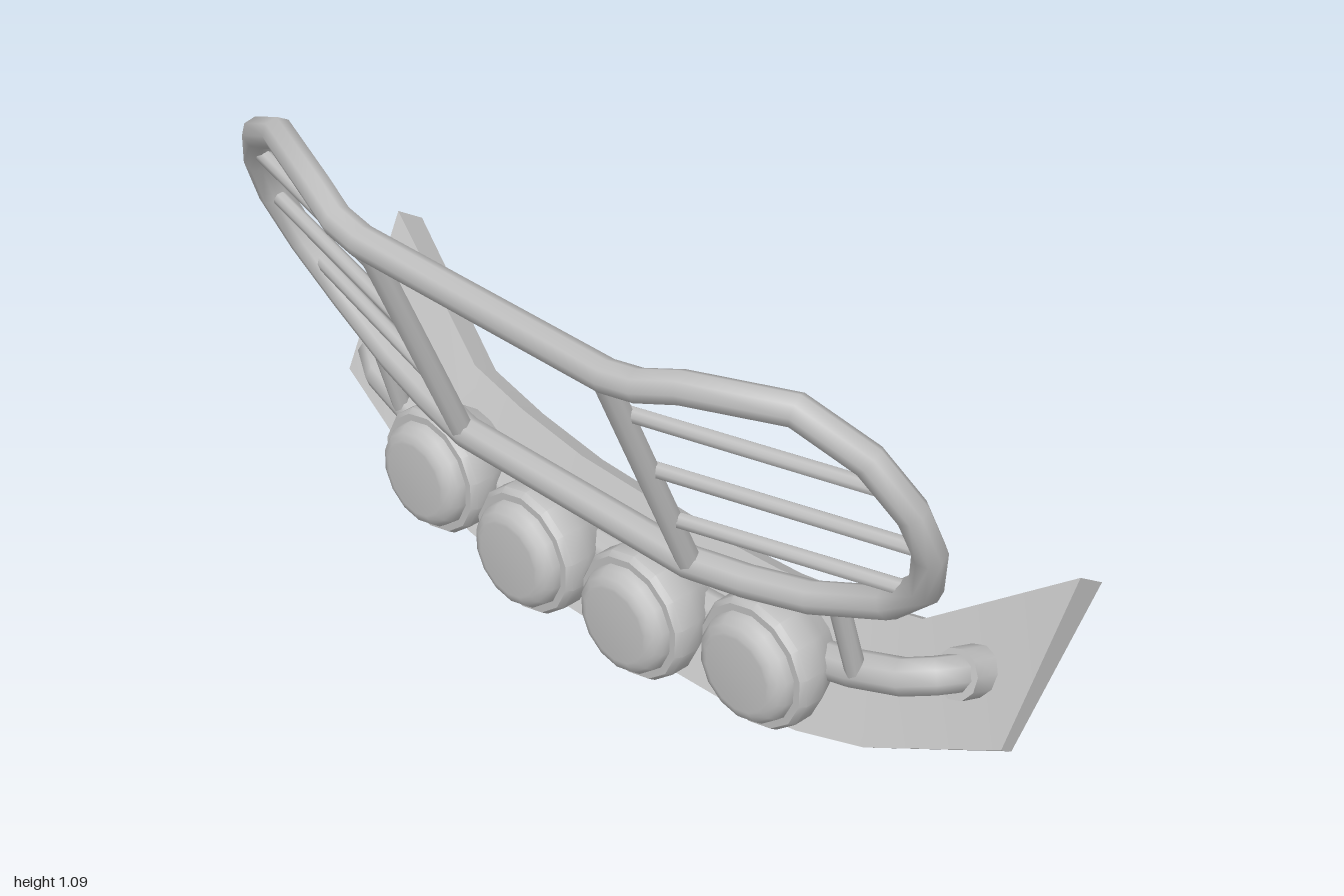
import * as THREE from 'three';
import { toCreasedNormals } from 'three/addons/utils/BufferGeometryUtils.js';

const metal = new THREE.MeshStandardMaterial({ color: 0xc0c0c0 });
metal.name = 'light grey metal';

const V = (p) => new THREE.Vector3(...p);
const flipX = (p) => [-p[0], p[1], p[2]];

function add(parent, name, geometry) {
  const mesh = new THREE.Mesh(geometry, metal);
  mesh.name = name;
  parent.add(mesh);
  return mesh;
}

// Bent pipe with one ring at each path point, so the bends stay faceted
function pipe(points, radius, closed) {
  const curve = new THREE.CatmullRomCurve3(points.map(V), closed);
  curve.getPointAt = curve.getPoint;
  curve.getTangentAt = curve.getTangent;
  return new THREE.TubeGeometry(curve, closed ? points.length : points.length - 1, radius, 8, closed);
}

// Straight round bar between two points
function rod(parent, name, a, b, radius, sides = 8) {
  const from = V(a), to = V(b);
  const dir = to.clone().sub(from);
  const geo = toCreasedNormals(new THREE.CylinderGeometry(radius, radius, dir.length(), sides), 0.9);
  const mesh = add(parent, name, geo);
  mesh.position.copy(from).add(to).multiplyScalar(0.5);
  mesh.quaternion.setFromUnitVectors(new THREE.Vector3(0, 1, 0), dir.normalize());
}

// Curved plate lofted through four-cornered cross-sections
function skidPlate() {
  // x at bottom, x at top, then [y, z] of bottom front, bottom back, top back, top front
  const half = [
    [0, 0, [0.012, -0.045], [0.003, -0.07], [0.22, -0.272], [0.26, -0.21]],
    [0.3, 0.3, [0.016, -0.048], [0.007, -0.073], [0.23, -0.275], [0.268, -0.213]],
    [0.5, 0.5, [0.042, -0.058], [0.033, -0.083], [0.253, -0.284], [0.292, -0.222]],
    [0.67, 0.67, [0.085, -0.075], [0.075, -0.1], [0.285, -0.297], [0.325, -0.235]],
    [0.98, 1, [0.225, -0.125], [0.205, -0.158], [0.515, -0.375], [0.56, -0.305]],
  ];
  const left = half.slice(1).reverse().map(([a, b, ...c]) => [-a, -b, ...c]);
  const sections = [...left, ...half];
  const pos = [], idx = [];
  for (const [xb, xt, ...corners] of sections) {
    corners.forEach(([y, z], i) => pos.push(i < 2 ? xb : xt, y, z));
  }
  for (let s = 0; s < sections.length - 1; s++) {
    for (let i = 0; i < 4; i++) {
      const a = s * 4 + i, b = s * 4 + (i + 1) % 4;
      idx.push(a, b, b + 4, a, b + 4, a + 4);
    }
  }
  // End caps
  const e = (sections.length - 1) * 4;
  idx.push(0, 2, 1, 0, 3, 2, e, e + 1, e + 2, e, e + 2, e + 3);
  const geo = new THREE.BufferGeometry();
  geo.setAttribute('position', new THREE.Float32BufferAttribute(pos, 3));
  geo.setIndex(idx);
  return toCreasedNormals(geo, 0.45);
}

export function createModel() {
  const model = new THREE.Group();
  model.name = 'bullBar';

  add(model, 'skidPlate', skidPlate());

  // Grille guard: bent outer loop
  const guard = new THREE.Group();
  guard.name = 'grilleGuard';
  model.add(guard);
  const side = [
    [0.33, 0.452, 0.09], [0.47, 0.465, 0.068], [0.62, 0.49, 0.042], [0.8, 0.56, 0.022],
    [0.905, 0.66, 0.042], [0.947, 0.78, 0.087], [0.935, 0.885, 0.13],
    [0.87, 0.99, 0.18], [0.735, 1.06, 0.232], [0.52, 1.045, 0.31],
    [0.43, 1.018, 0.333], [0.35, 1.005, 0.338]];
  add(guard, 'outerLoop', pipe([...side, ...side.map(flipX).reverse()], 0.035, true));

  for (const s of [-1, 1]) {
    const m = ([x, y, z]) => [s * x, y, z];
    rod(guard, 'upright', m([0.338, 0.46, 0.098]), m([0.338, 1.0, 0.337]), 0.026);
    const slats = [
      [[0.338, 0.89, 0.275], [0.92, 0.93, 0.155]],
      [[0.338, 0.735, 0.21], [0.94, 0.783, 0.09]],
      [[0.338, 0.59, 0.15], [0.88, 0.633, 0.035]],
    ];
    for (const [a, b] of slats) rod(guard, 'slat', m(a), m(b), 0.017);
    rod(model, 'strut', m([0.68, 0.3, -0.03]), m([0.68, 0.51, 0.035]), 0.022);
    rod(model, 'mountCollar', m([0.85, 0.338, -0.13]), m([0.85, 0.312, -0.2]), 0.054, 10);
  }

  // Lamp bar bending back to the plate at both ends
  const barHalf = [[0.16, 0.235, -0.035], [0.34, 0.241, -0.037],
    [0.5, 0.258, -0.042], [0.66, 0.295, -0.045], [0.78, 0.333, -0.055], [0.835, 0.35, -0.085],
    [0.85, 0.345, -0.12], [0.85, 0.33, -0.16]];
  add(model, 'lampBar', pipe([...barHalf.map(flipX).reverse(), ...barHalf], 0.04, false));

  // Four round lamps: [radius, depth] profile from back to front
  const profile = [[0, -0.05], [0.1, -0.05], [0.128, -0.005], [0.147, 0.035], [0.147, 0.08],
    [0.138, 0.094], [0.122, 0.094], [0.119, 0.112], [0.108, 0.127], [0.092, 0.135], [0.085, 0.136],
    [0, 0.136]];
  const lampGeo = toCreasedNormals(
    new THREE.LatheGeometry(profile.map(([r, h]) => new THREE.Vector2(r, h)), 14), 0.7);
  lampGeo.rotateX(Math.PI / 2);
  for (const [x, y, z] of [[0.162, 0.228, 0], [0.485, 0.265, -0.025]]) {
    for (const s of [-1, 1]) add(model, 'lamp', lampGeo).position.set(s * x, y, z);
  }
  return model;
}
